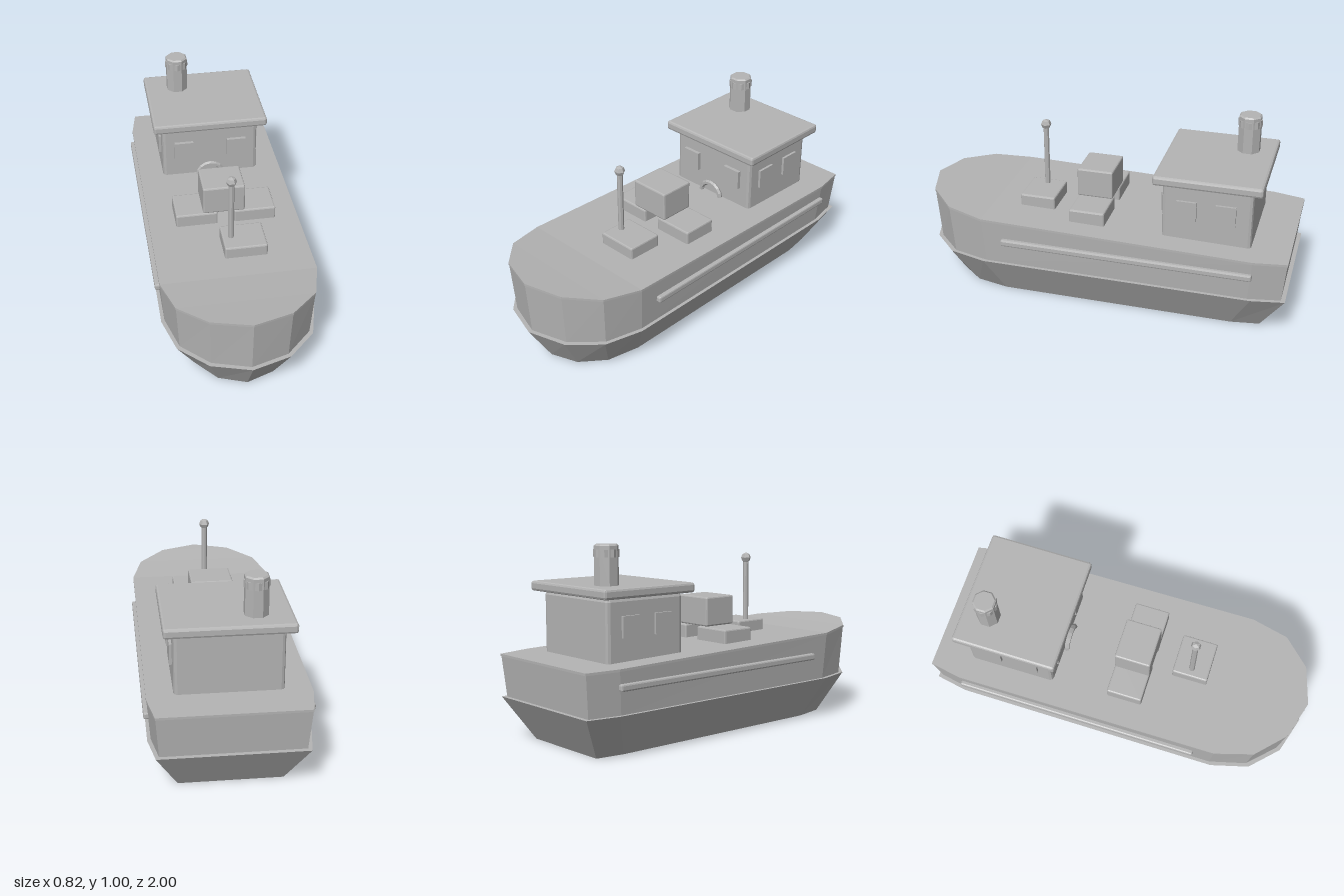
import * as THREE from 'three';
import { RoundedBoxGeometry } from 'three/addons/geometries/RoundedBoxGeometry.js';

export function createModel() {
  const model = new THREE.Group();
  model.name = 'boat';
  const grey = new THREE.MeshStandardMaterial({ color: 0xb4b4b4, flatShading: true });
  grey.name = 'plain grey';

  const add = (name, geometry, x = 0, y = 0, z = 0) => {
    const mesh = new THREE.Mesh(geometry, grey);
    mesh.name = name;
    mesh.position.set(x, y, z);
    model.add(mesh);
    return mesh;
  };

  // Chamfered box given by its extents
  const box = (name, [x0, x1], [y0, y1], [z0, z1], bevel = 0.008) =>
    add(name, new RoundedBoxGeometry(x1 - x0, y1 - y0, z1 - z0, 1, bevel),
      (x0 + x1) / 2, (y0 + y1) / 2, (z0 + z1) / 2);

  // Half outline of the hull, bow to stern: [x, z, deck height]
  const half = [
    [0, 1, 0.517], [0.2, 0.94, 0.51], [0.342, 0.8, 0.492],
    [0.396, 0.6, 0.473], [0.396, -0.83, 0.442], [0.365, -1, 0.439],
  ];
  const outline = [...half, ...half.slice(1).reverse().map(([x, z, y]) => [-x, z, y])];
  const n = outline.length;

  // Closed loft between two scaled copies of the outline
  function hullLoft(lower, upper) {
    const positions = [];
    const index = [];
    for (const ring of [lower, upper])
      for (const [x, z, deck] of outline)
        positions.push(x * ring.sx, ring.y(deck), z * ring.sz);
    const quad = (a, b, c, d) => index.push(a, b, c, a, c, d);
    for (let i = 0; i < n; i++) {
      const j = (i + 1) % n;
      quad(i, j, n + j, n + i);
    }
    // Caps run across from side to side
    for (let k = 0; k < half.length - 1; k++) {
      const l0 = (n - k) % n, l1 = n - k - 1;
      if (k === 0) {
        index.push(n, n + 1, n + l1, 0, l1, 1);
      } else if (l1 === k + 1) {
        index.push(n + k, n + l1, n + l0, k, l0, l1);
      } else {
        quad(n + k, n + k + 1, n + l1, n + l0);
        quad(l0, l1, k + 1, k);
      }
    }
    const g = new THREE.BufferGeometry();
    g.setAttribute('position', new THREE.Float32BufferAttribute(positions, 3));
    g.setIndex(index);
    const flat = g.toNonIndexed();
    flat.computeVertexNormals();
    return flat;
  }

  // Hull and deck
  add('lowerHull', hullLoft({ sx: 0.705, sz: 0.87, y: () => 0 }, { sx: 1, sz: 1, y: () => 0.22 }));
  add('upperHull', hullLoft({ sx: 0.956, sz: 0.978, y: () => 0.22 },
    { sx: 0.995, sz: 0.997, y: (d) => d - 0.012 }));
  add('deck', hullLoft({ sx: 1, sz: 1, y: (d) => d - 0.012 }, { sx: 1, sz: 1, y: (d) => d }));
  for (const s of [-1, 1])
    box('rubRail', s > 0 ? [0.375, 0.411] : [-0.411, -0.375], [0.336, 0.371], [-0.83, 0.49]);

  // Cabin and roof
  box('cabin', [-0.265, 0.265], [0.42, 0.752], [-0.8, -0.338], 0.018);
  box('roof', [-0.313, 0.313], [0.752, 0.802], [-0.848, -0.294], 0.012);

  // Windows
  for (const s of [-1, 1]) {
    add('frontWindow', new THREE.BoxGeometry(0.105, 0.105, 0.03), s * 0.147, 0.613, -0.334);
    for (const z of [-0.465, -0.665])
      add('sideWindow', new THREE.BoxGeometry(0.03, 0.105, 0.104), s * 0.263, 0.613, z);
  }

  // Ring half sunk in the deck before the cabin
  add('wheel', new THREE.TorusGeometry(0.068, 0.014, 6, 16), 0, 0.448, -0.324);

  // Funnel with a collar
  const funnelProfile = [[0, 0.79], [0.061, 0.79], [0.061, 0.993], [0.053, 1], [0, 1]]
    .map(([r, y]) => new THREE.Vector2(r, y));
  add('funnel', new THREE.LatheGeometry(funnelProfile, 8, Math.PI / 8), -0.134, 0, -0.705);
  add('funnelCollar', new THREE.CylinderGeometry(0.063, 0.063, 0.037, 8), -0.134, 0.957, -0.705);

  // Cargo: two low boxes carrying a tall one
  box('lowCrate', [-0.255, -0.035], [0.45, 0.532], [-0.036, 0.154]);
  box('lowCrate', [0.055, 0.275], [0.45, 0.532], [-0.036, 0.154]);
  box('tallCrate', [-0.112, 0.11], [0.535, 0.691], [-0.036, 0.156]);

  // Mast and its base
  box('mastBase', [-0.045, 0.175], [0.45, 0.532], [0.264, 0.455]);
  add('mast', new THREE.CylinderGeometry(0.015, 0.015, 0.39, 8), 0, 0.665, 0.36);
  add('mastLamp', new THREE.SphereGeometry(0.028, 6, 4), 0, 0.877, 0.36);

  return model;
}
